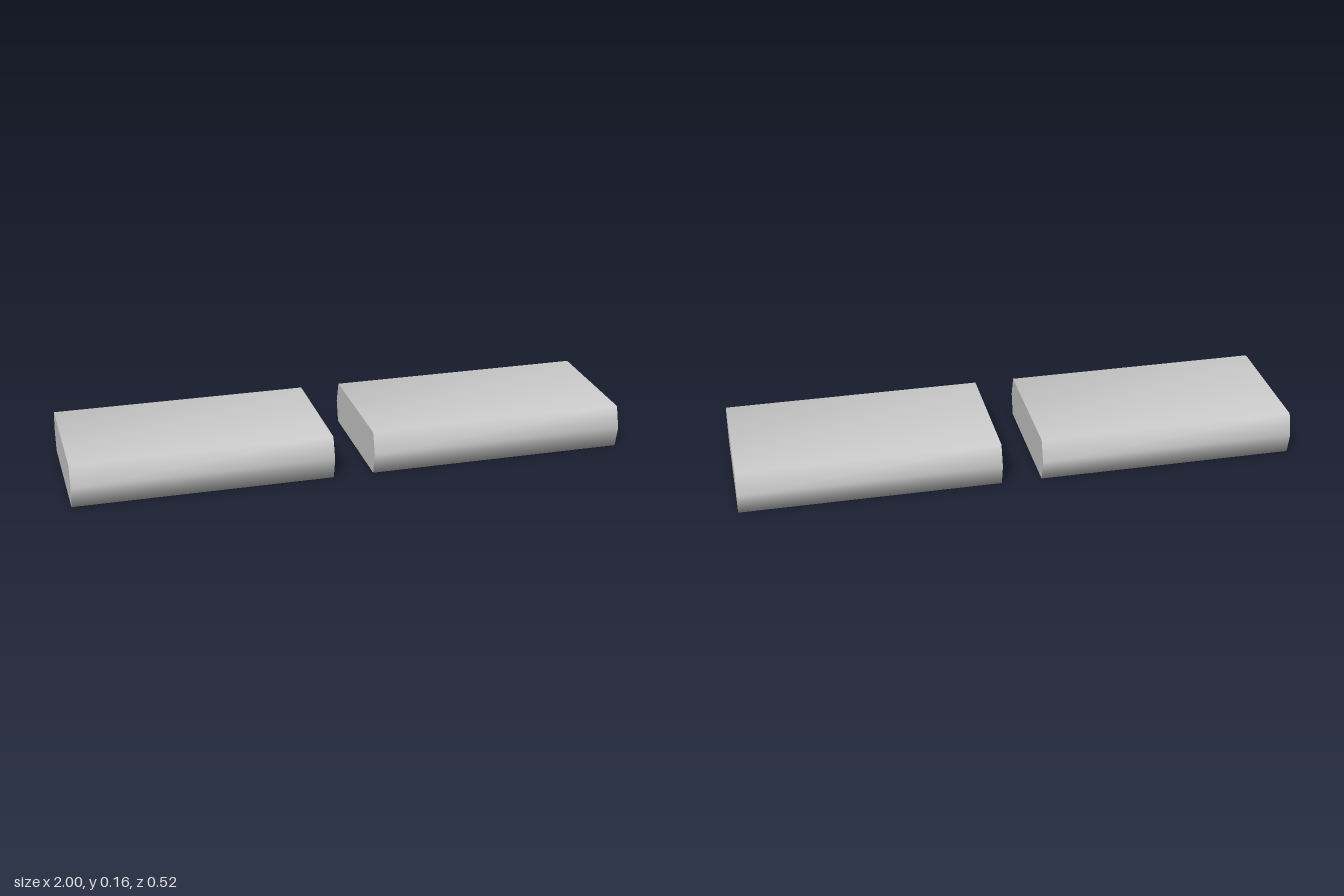
import * as THREE from 'three';

// Bar cross-section as [z, y], clockwise from the top front edge
const PROFILE = [
  [0.238, 0.155], [0.262, 0.078], [0.243, 0],
  [-0.241, 0], [-0.26, 0.078], [-0.236, 0.155],
];

// Prism along x: smooth shading round the profile, flat end caps
function barGeometry(x0, x1) {
  const n = PROFILE.length;
  const positions = [];
  const index = [];
  const addRing = (x) => {
    const start = positions.length / 3;
    for (const [z, y] of PROFILE) positions.push(x, y, z);
    return start;
  };

  // Long sides share their vertices, so the edges shade softly
  const a = addRing(x0);
  const b = addRing(x1);
  for (let i = 0; i < n; i++) {
    const j = (i + 1) % n;
    index.push(a + i, a + j, b + i, b + i, a + j, b + j);
  }

  // End caps have their own vertices
  const capA = addRing(x0);
  const capB = addRing(x1);
  for (let i = 1; i < n - 1; i++) {
    index.push(capA, capA + i + 1, capA + i);
    index.push(capB, capB + i, capB + i + 1);
  }

  const geometry = new THREE.BufferGeometry();
  geometry.setAttribute('position', new THREE.Float32BufferAttribute(positions, 3));
  geometry.setIndex(index);
  geometry.computeVertexNormals();
  return geometry;
}

export function createModel() {
  const model = new THREE.Group();
  model.name = 'barPair';
  const lightGrey = new THREE.MeshStandardMaterial({ color: 0xcccccc });
  lightGrey.name = 'lightGrey';

  // Two bars end to end with a gap between them
  for (const [name, x0, x1] of [['rightBar', -1, -0.075], ['leftBar', 0.07, 1]]) {
    const bar = new THREE.Mesh(barGeometry(x0, x1), lightGrey);
    bar.name = name;
    model.add(bar);
  }
  return model;
}
